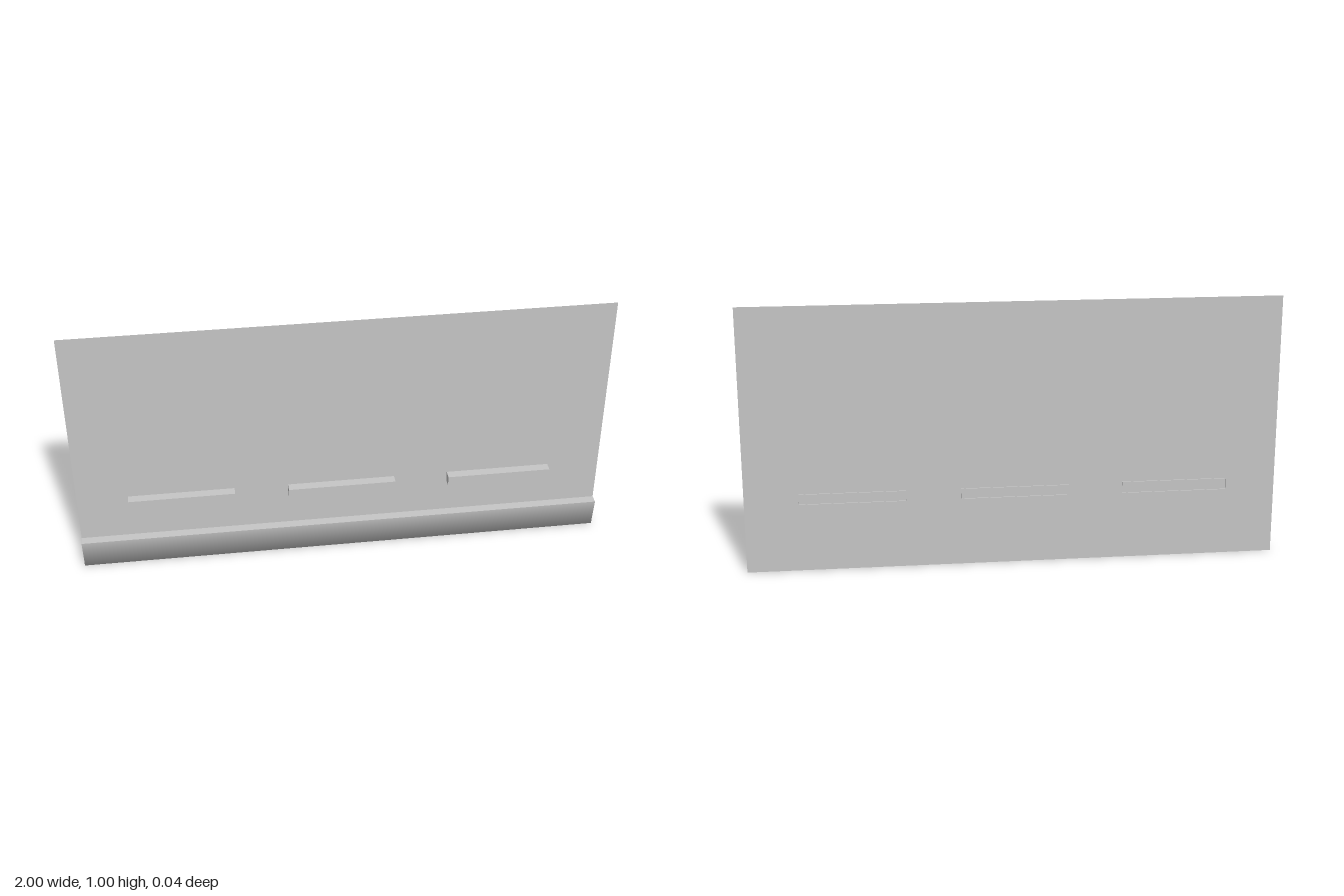
import * as THREE from 'three';

export function createModel() {
  const model = new THREE.Group();
  model.name = 'wallPanel';

  const grey = new THREE.MeshStandardMaterial({ color: 0xc6c6c6, side: THREE.DoubleSide });
  grey.name = 'lightGrey';

  const BACK = -0.015; // plane of the sheet

  const add = (name, geometry) => {
    const mesh = new THREE.Mesh(geometry, grey);
    mesh.name = name;
    model.add(mesh);
  };

  // Box between two corners, left open at the back (the last face of a box)
  const openBox = (x0, x1, y0, y1, z0, z1) => {
    const box = new THREE.BoxGeometry(x1 - x0, y1 - y0, z1 - z0);
    box.setIndex([...box.index.array.slice(0, 30)]);
    box.clearGroups();
    return box.translate((x0 + x1) / 2, (y0 + y1) / 2, (z0 + z1) / 2);
  };

  // Thin upright sheet
  add('sheet', new THREE.PlaneGeometry(2, 1).translate(0, 0.5, BACK));

  // Skirting: a box whose lower front edge is drawn in to form a wedge
  const skirting = openBox(-1, 1, 0, 0.12, BACK, 0.02);
  const pos = skirting.attributes.position;
  for (let i = 0; i < pos.count; i++) {
    if (pos.getY(i) < 0.01 && pos.getZ(i) > 0) pos.setZ(i, 0.005);
  }
  skirting.computeVertexNormals();

  // Soften the lower front edge only, sharing one normal between front and bottom
  const normal = skirting.attributes.normal;
  for (let i = 0; i < pos.count; i++) {
    const lowerFront = pos.getY(i) < 0.01 && pos.getZ(i) > 0;
    if (lowerFront && Math.abs(normal.getX(i)) < 0.5) normal.setXYZ(i, 0, -0.75, 0.66);
  }
  add('skirting', skirting);

  // Three hollow bars passing through the sheet: [x from, x to, y from, y to]
  const bars = [
    [-0.81, -0.41, 0.258, 0.301],
    [-0.207, 0.2, 0.259, 0.298],
    [0.405, 0.8, 0.259, 0.298],
  ];
  bars.forEach((bar, i) => add(`bar${i + 1}`, openBox(...bar, -0.02, 0.02)));

  return model;
}
